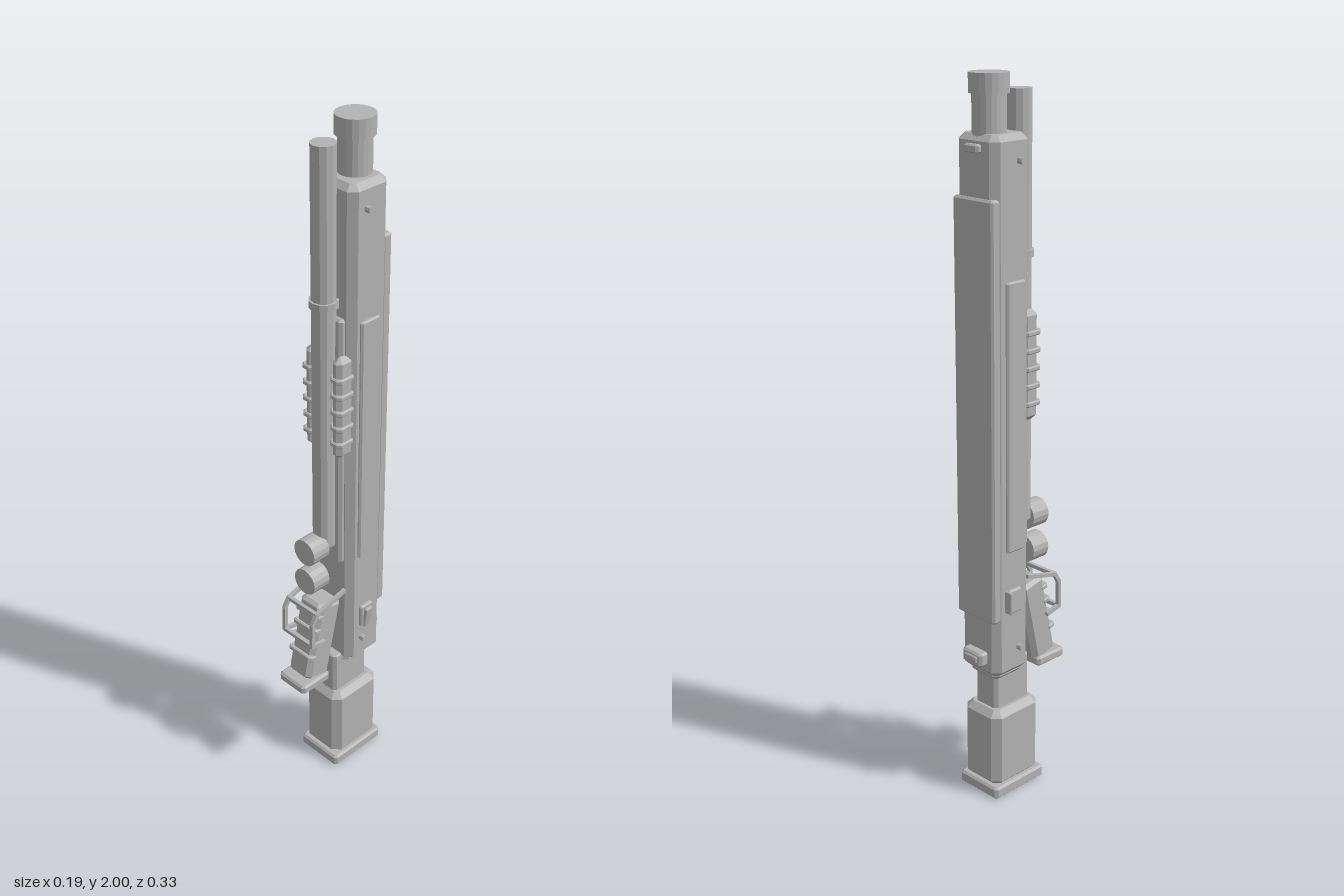
import * as THREE from 'three';

export function createModel() {
  const group = new THREE.Group();
  const grey = new THREE.MeshStandardMaterial({ color: 0xb3b3b3 });

  function add(name, geometry, parent = group) {
    const mesh = new THREE.Mesh(geometry, grey);
    mesh.name = name;
    parent.add(mesh);
    return mesh;
  }

  // Block given by its ranges, with cut upright corners (c) and bevelled ends (b)
  function block(name, [x0, x1], [y0, y1], [z0, z1], c = 0.004, b = 0.004, parent = group) {
    const w = (x1 - x0) / 2, d = (z1 - z0) / 2;
    const shape = new THREE.Shape([
      [w - c, -d], [w, -d + c], [w, d - c], [w - c, d],
      [-w + c, d], [-w, d - c], [-w, -d + c], [-w + c, -d],
    ].map(p => new THREE.Vector2(...p)));
    const geo = new THREE.ExtrudeGeometry(shape, {
      depth: y1 - y0 - 2 * b, bevelEnabled: true, bevelThickness: b,
      bevelSize: b, bevelOffset: -b, bevelSegments: 1,
    });
    geo.rotateX(-Math.PI / 2);
    geo.translate((x0 + x1) / 2, y0 + b, (z0 + z1) / 2);
    return add(name, geo, parent);
  }

  // Faceted cylinder, upright or along x or z
  function rod(name, r, length, [x, y, z], sides = 12, axis = 'y') {
    let geo = new THREE.CylinderGeometry(r, r, length, sides).toNonIndexed();
    geo.computeVertexNormals();
    if (axis === 'x') geo.rotateZ(Math.PI / 2);
    if (axis === 'z') geo.rotateX(Math.PI / 2);
    geo.translate(x, y, z);
    return add(name, geo);
  }

  // Stock
  block('buttPlate', [-0.075, 0.075], [0, 0.036], [-0.138, 0.055], 0.008, 0.006);
  block('stock', [-0.07, 0.07], [0.03, 0.268], [-0.132, 0.046], 0.022, 0.018);
  block('stockNeck', [-0.042, 0.042], [0.25, 0.4], [-0.106, 0.027], 0.01, 0.004);

  // Receiver
  block('bodyCollar', [-0.055, 0.055], [0.362, 0.41], [-0.118, -0.004], 0.015, 0.012);
  block('body', [-0.073, 0.073], [0.38, 1.855], [-0.133, 0], 0.02, 0.016);
  block('backPlate', [-0.072, 0.072], [0.55, 1.7], [-0.142, -0.11], 0.006, 0.006);
  block('frontPlate', [-0.05, 0.05], [0.74, 1.5], [-0.01, 0.015], 0.008, 0.006);
  block('rearSight', [-0.038, 0.038], [0.415, 0.455], [-0.16, -0.12], 0.008, 0.006);
  block('rearSightButton', [-0.024, 0.024], [0.425, 0.445], [-0.165, -0.155], 0.003, 0.003);
  block('frontSight', [-0.026, 0.026], [1.81, 1.832], [-0.147, -0.12], 0.006, 0.004);

  // Barrel and muzzle
  rod('barrel', 0.044, 0.2, [0, 1.88, -0.08], 20);
  rod('muzzle', 0.052, 0.05, [0, 1.975, -0.08], 20);

  // Tube in front of the barrel
  rod('magazineTube', 0.033, 1.155, [0, 1.378, 0.026]);
  rod('tubeRing', 0.039, 0.02, [0, 1.54, 0.026]);

  // Details on both sides
  for (const s of [-1, 1]) {
    const side = (a, b) => (s > 0 ? [a, b] : [-b, -a]);
    block('sidePanel', side(0.06, 0.081), [0.75, 1.49], [-0.096, -0.03], 0.005, 0.004);
    for (const y of [0.457, 1.79]) rod('pin', 0.009, 0.03, [s * 0.074, y, -0.048], 8, 'x');

    // Ribbed fore grip
    block('foreGripPad', side(0.032, 0.066), [1.1, 1.4], [-0.02, 0.036], 0.012, 0.014);
    for (let i = 0; i < 5; i++) {
      const y = 1.14 + i * 0.048;
      block('foreGripRib', side(0.03, 0.072), [y, y + 0.014], [-0.02, 0.042], 0.01, 0.003);
    }
  }
  block('ejectionPort', [0.06, 0.083], [0.5, 0.573], [-0.086, -0.04], 0.004, 0.004);
  const latch = block('latch', [-0.006, 0.006], [-0.035, 0.035], [-0.012, 0.012], 0.003, 0.003);
  latch.position.set(0.086, 0.533, -0.06);
  latch.rotation.z = -0.15;
  block('boltBase', [-0.084, -0.06], [0.57, 0.64], [-0.092, -0.045], 0.004, 0.004);
  block('boltHandle', [-0.096, -0.07], [0.575, 0.64], [-0.1, -0.092], 0.002, 0.002);

  // Round knobs on the front
  for (const y of [0.7, 0.8]) rod('knob', 0.04, 0.058, [0, y, 0.074], 16, 'z');

  // Slanted grip
  const grip = new THREE.Group();
  grip.name = 'grip';
  grip.position.set(0, 0.49, 0.067);
  grip.rotation.x = -0.22;
  group.add(grip);
  block('gripBody', [-0.044, 0.044], [-0.125, 0.125], [-0.044, 0.044], 0.014, 0.01, grip);
  for (let i = 0; i < 4; i++) {
    const y = -0.055 + i * 0.045;
    block('gripRib', [-0.046, 0.046], [y, y + 0.014], [0.02, 0.054], 0.008, 0.003, grip);
  }
  block('gripBase', [-0.052, 0.052], [0.343, 0.372], [0.055, 0.162], 0.008, 0.006);

  // Guard frame around the grip
  const path = [[0.645, 0.005], [0.618, 0.112], [0.592, 0.128], [0.515, 0.13], [0.505, 0.085]];
  for (const s of [-1, 1]) {
    for (let i = 0; i < path.length - 1; i++) {
      const [y0, z0] = path[i], [y1, z1] = path[i + 1];
      const geo = new THREE.BoxGeometry(0.011, 0.011, Math.hypot(y1 - y0, z1 - z0) + 0.008);
      const bar = add('guardBar', geo);
      bar.position.set(s * 0.056, (y0 + y1) / 2, (z0 + z1) / 2);
      bar.rotation.x = -Math.atan2(y1 - y0, z1 - z0);
    }
  }
  for (const [y, z] of [path[1], path[3]]) {
    const bar = add('guardCrossbar', new THREE.BoxGeometry(0.112, 0.011, 0.011));
    bar.position.set(0, y, z);
  }
  return group;
}
